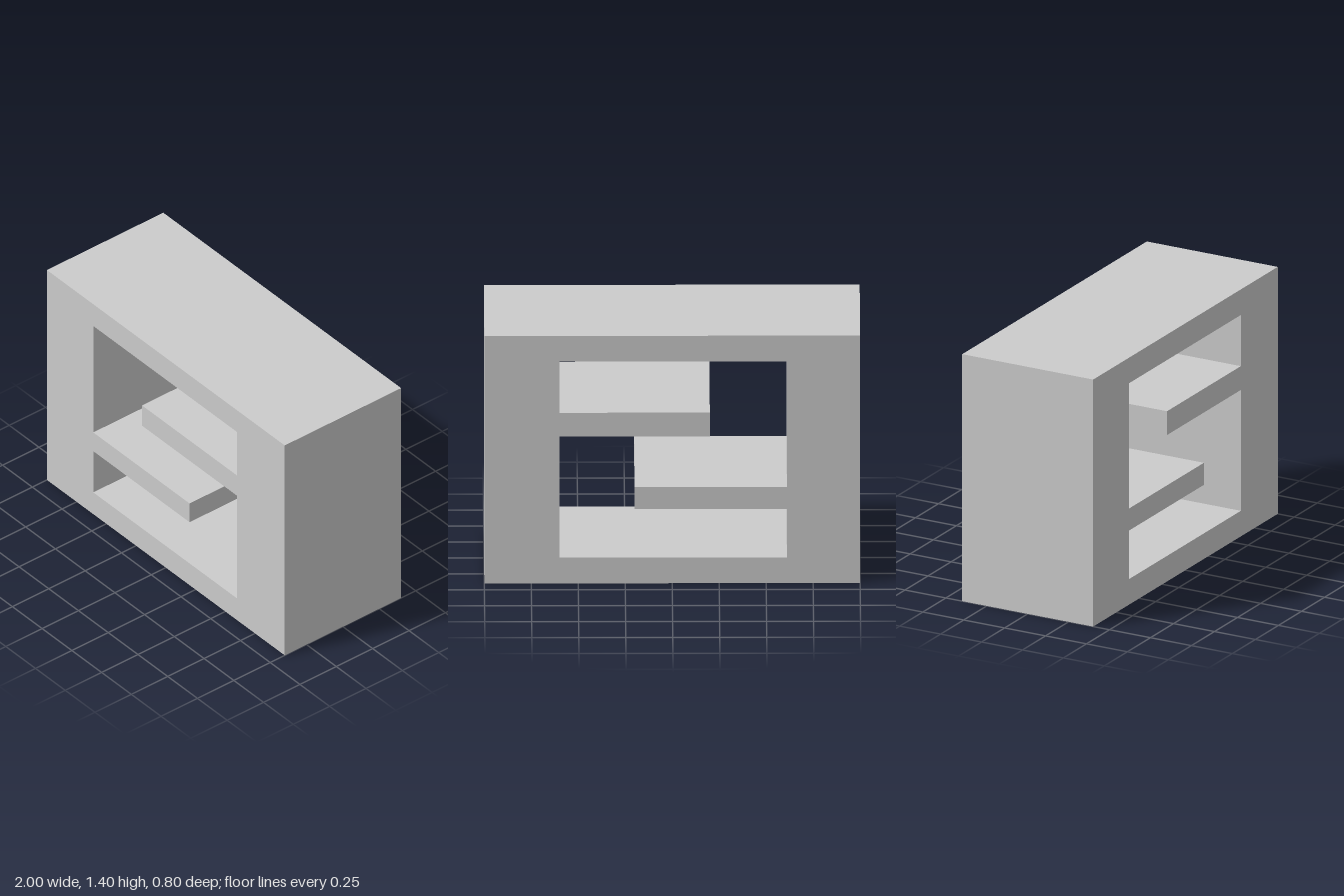
import * as THREE from 'three';

const DEPTH = 0.8;

export function createModel() {
  const group = new THREE.Group();
  const material = new THREE.MeshStandardMaterial({ color: 0xcccccc, flatShading: true });

  // Outer block outline
  const outline = new THREE.Shape([
    [-1, 0], [1, 0], [1, 1.4], [-1, 1.4],
  ].map(([x, y]) => new THREE.Vector2(x, y)));

  // S-shaped opening: a window with one shelf reaching in from each side
  outline.holes.push(new THREE.Path([
    [-0.61, 0.145], [-0.61, 0.42], [0.2, 0.42], [0.2, 0.545], [-0.61, 0.545],
    [-0.61, 1.255], [0.6, 1.255], [0.6, 0.965], [-0.2, 0.965], [-0.2, 0.83],
    [0.6, 0.83], [0.6, 0.145],
  ].map(([x, y]) => new THREE.Vector2(x, y))));

  // Block with its opening cut straight through
  const geometry = new THREE.ExtrudeGeometry(outline, { depth: DEPTH, bevelEnabled: false });
  geometry.translate(0, 0, -DEPTH / 2);
  const block = new THREE.Mesh(geometry, material);
  block.name = 'blockWithShelves';
  group.add(block);

  return group;
}
